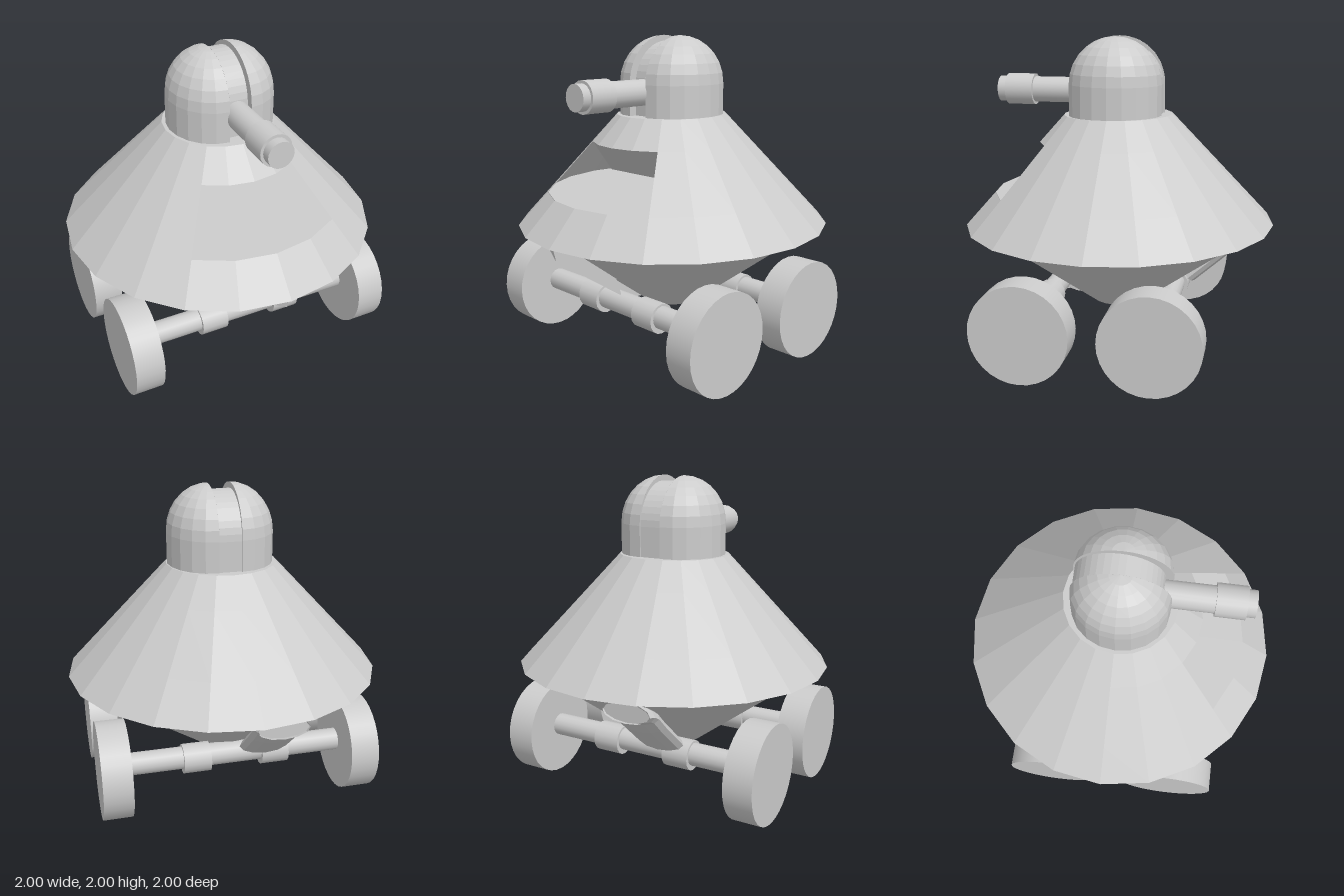
import * as THREE from 'three';

const mat = new THREE.MeshStandardMaterial({ color: 0xcccccc, flatShading: true, side: THREE.DoubleSide });
const smooth = new THREE.MeshStandardMaterial({ color: 0xcccccc });
const SIDES = 20;
const WINDOW = Math.PI / 5; // half angle of the window, two facets each side

function add(parent, name, geometry, material = mat) {
  const mesh = new THREE.Mesh(geometry, material);
  mesh.name = name;
  parent.add(mesh);
  return mesh;
}

const lathe = (pts, segs = SIDES, start = 0, length = Math.PI * 2) =>
  new THREE.LatheGeometry(pts.map(([r, y]) => new THREE.Vector2(r, y)), segs, start, length);

// Cylinder lying along x or z between two positions
function rod(parent, name, axis, radius, from, to, a, b, segs = 20) {
  const geo = new THREE.CylinderGeometry(radius, radius, to - from, segs);
  const mid = (from + to) / 2;
  if (axis === 'x') geo.rotateZ(Math.PI / 2).translate(mid, a, b);
  else geo.rotateX(Math.PI / 2).translate(a, b, mid);
  return add(parent, name, geo, smooth);
}

// Flat polygon faces from a few corner points
function faces(points, tris) {
  const geo = new THREE.BufferGeometry();
  geo.setAttribute('position', new THREE.Float32BufferAttribute(tris.flat().flatMap(i => points[i]), 3));
  geo.computeVertexNormals();
  return geo;
}

function buildUpperHull() {
  const hull = new THREE.Group();
  hull.name = 'upperHull';
  hull.rotation.x = 0.012;
  hull.position.set(0, 0.01, -0.01);
  add(hull, 'hullSkirt', lathe([[0, 0.8], [1, 0.8], [0.805, 1.01]]));
  add(hull, 'hullMiddle', lathe([[0.805, 1.01], [0.508, 1.33]], 16, WINDOW, Math.PI * 2 - 2 * WINDOW));
  add(hull, 'hullTop', lathe([[0.508, 1.33], [0.35, 1.5], [0, 1.5]]));

  // Recess behind the window: floor, lintel and slanted rear wall
  add(hull, 'windowFloor', lathe([[0.803, 1.01], [0, 1.01]]));
  const lintel = new THREE.Shape();
  for (let i = -2; i <= 2; i++) {
    const a = i * WINDOW / 2;
    lintel[i === -2 ? 'moveTo' : 'lineTo'](0.508 * Math.sin(a), 0.508 * Math.cos(a));
  }
  add(hull, 'windowLintel', new THREE.ShapeGeometry(lintel).rotateX(Math.PI / 2).translate(0, 1.33, 0));
  add(hull, 'windowRearWall', faces(
    [[-0.75, 1.01, -0.12], [0.75, 1.01, -0.12], [0.298, 1.33, 0.41], [-0.298, 1.33, 0.41]],
    [[0, 1, 2], [0, 2, 3]]));
  return hull;
}

function buildLowerHull() {
  const hull = new THREE.Group();
  hull.name = 'lowerHull';
  add(hull, 'hullBelly', lathe([[0, 0.27], [0.18, 0.27], [0.89, 0.8]]));
  // Angular prow on one side of the centre line
  add(hull, 'prow', faces(
    [[-0.27, 0.795, 0.85], [0, 0.795, 0.97], [0, 0.715, 0.95], [0, 0.38, 0.45], [0, 0.795, 0.6]],
    [[0, 2, 1], [0, 3, 2], [1, 2, 4], [2, 3, 4], [0, 1, 4], [0, 4, 3]]));
  // Flattened bent exhaust under the rear
  const path = new THREE.CurvePath();
  const p = [[0.42, -0.46], [0.6, -0.66], [0.7, -0.76], [0.72, -0.84]].map(([y, z]) => new THREE.Vector3(0, y, z));
  for (let i = 0; i < 3; i++) path.add(new THREE.LineCurve3(p[i], p[i + 1]));
  const pipe = new THREE.Group();
  pipe.name = 'exhaust';
  pipe.scale.x = 2.7;
  pipe.position.x = -0.17;
  add(pipe, 'exhaustPipe', new THREE.TubeGeometry(path, 9, 0.06, 12));
  add(pipe, 'exhaustEnd', new THREE.CircleGeometry(0.058, 12).rotateY(Math.PI).translate(0, 0.72, -0.835));
  hull.add(pipe);
  return hull;
}

// Side outline of the turret: straight wall, round top
function domeOutline(r, base, spring) {
  const s = new THREE.Shape();
  s.moveTo(r, base);
  s.lineTo(r, spring);
  s.absarc(0, spring, r, 0, Math.PI, false);
  s.lineTo(-r, base);
  return s;
}

function buildTurret() {
  const turret = new THREE.Group();
  turret.name = 'turret';
  turret.position.set(0.008, 0, 0.012);
  const profile = [[0.295, 1.49]];
  for (let i = 0; i <= 7; i++) {
    const a = i / 7 * Math.PI / 2;
    profile.push([0.295 * Math.cos(a), 1.705 + 0.295 * Math.sin(a)]);
  }
  // Two half domes with a slot between them
  for (const side of [1, -1]) {
    const half = new THREE.Group();
    half.name = side > 0 ? 'leftHalfDome' : 'rightHalfDome';
    half.position.x = side * 0.07;
    add(half, 'domeShell', lathe(profile, 10, side > 0 ? 0 : Math.PI, Math.PI).scale(0.265 / 0.295, 1, 1));
    add(half, 'slotWall', new THREE.ShapeGeometry(domeOutline(0.295, 1.49, 1.705), 10).rotateY(-side * Math.PI / 2));
    turret.add(half);
  }
  // Core filling the slot, set slightly below the shells
  add(turret, 'slotCore', new THREE.ExtrudeGeometry(domeOutline(0.265, 1.49, 1.7),
    { depth: 0.14, bevelEnabled: false, curveSegments: 10 }).translate(0, 0, -0.07).rotateY(Math.PI / 2).translate(0, 0, -0.02));
  return turret;
}

export function createModel() {
  const model = new THREE.Group();
  model.name = 'vehicle';
  model.add(buildUpperHull(), buildLowerHull(), buildTurret());

  // Gun barrel with sleeve
  const gun = new THREE.Group();
  gun.name = 'gun';
  rod(gun, 'barrel', 'z', 0.082, 0.1, 0.79, 0.006, 1.655);
  rod(gun, 'barrelSleeve', 'z', 0.1, 0.555, 0.735, 0.006, 1.655);
  model.add(gun);

  // Two axles with collars and wheels
  for (const [name, z] of [['frontAxle', 0.43], ['rearAxle', -0.35]]) {
    const axle = new THREE.Group();
    axle.name = name;
    rod(axle, 'axleShaft', 'x', 0.072, -0.72, 0.72, 0.325, z, 16);
    for (const side of [1, -1]) {
      const c = side * 0.255, w = side * 0.785;
      rod(axle, 'axleCollar', 'x', 0.095, c - 0.088, c + 0.088, 0.316, z, 16);
      rod(axle, 'wheel', 'x', 0.308, w - 0.092, w + 0.092, 0.308, z, 32);
    }
    model.add(axle);
  }
  return model;
}
